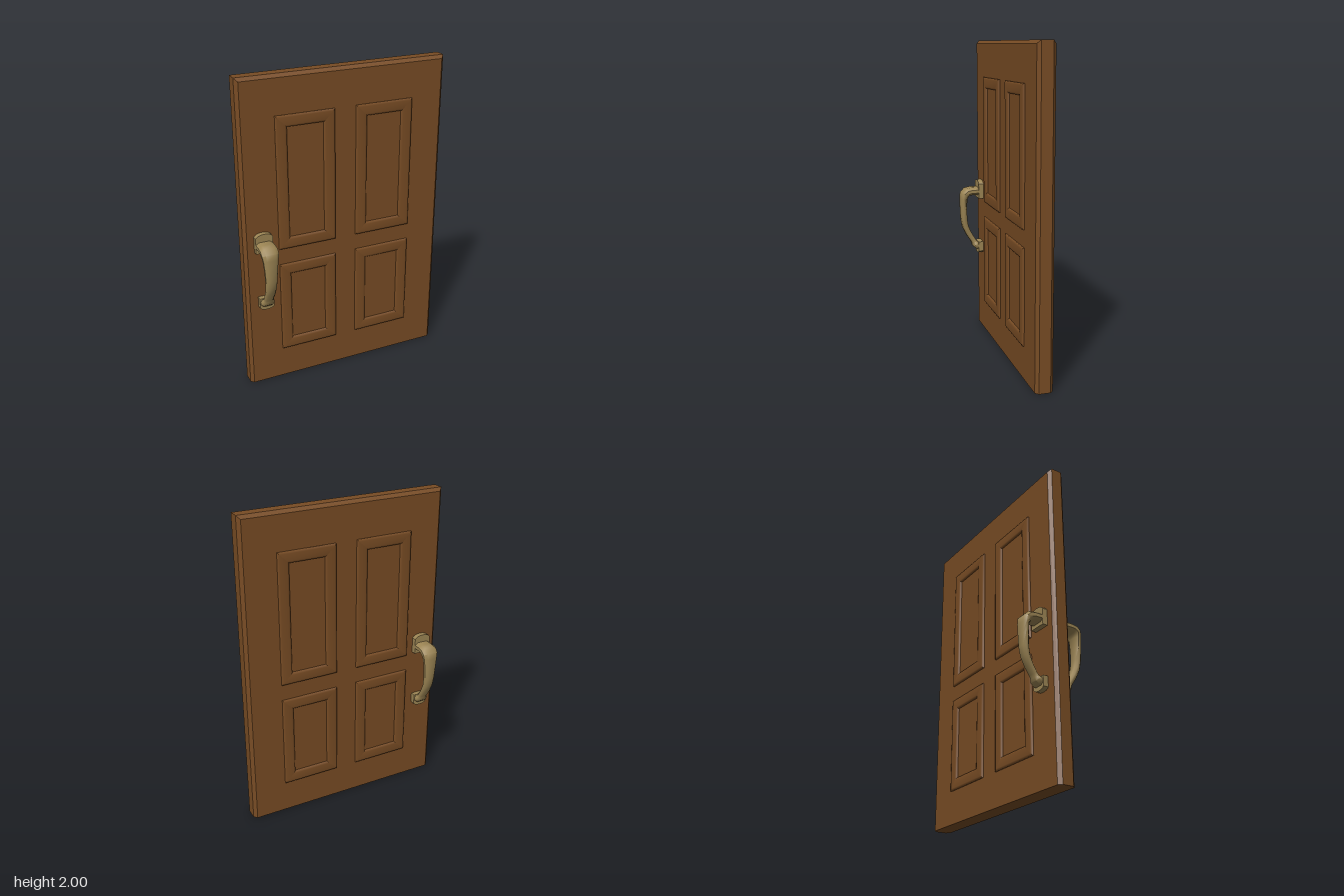
import * as THREE from 'three';
import { mergeGeometries, toCreasedNormals } from 'three/addons/utils/BufferGeometryUtils.js';

// Skin a list of rings (anticlockwise about the direction of travel)
function loft(rings, closed = true) {
  const n = rings[0].length;
  const index = [];
  const quads = closed ? n : n - 1;
  for (let i = 0; i < rings.length - 1; i++) {
    for (let j = 0; j < quads; j++) {
      const k = (j + 1) % n;
      const a = i * n + j, b = i * n + k, c = b + n, d = a + n;
      index.push(a, b, c, a, c, d);
    }
  }
  if (closed) {
    const last = (rings.length - 1) * n;
    for (let j = 1; j < n - 1; j++) {
      index.push(0, j + 1, j, last, last + j, last + j + 1);
    }
  }
  const geo = new THREE.BufferGeometry();
  geo.setAttribute('position', new THREE.Float32BufferAttribute(rings.flat(2), 3));
  geo.setIndex(index);
  geo.computeVertexNormals();
  return geo;
}

const rect = (x0, x1, y0, y1, z) => [[x0, y0, z], [x1, y0, z], [x1, y1, z], [x0, y1, z]];

// Raised moulding around a panel, with mitred corners
function mouldingGeometry(x0, x1, y0, y1) {
  const profile = [[0, 0.05], [0, 0.064], [0.012, 0.068], [0.058, 0.068], [0.07, 0.063], [0.072, 0.05]];
  const rings = profile.map(([d, z]) => rect(x0 + d, x1 - d, y0 + d, y1 - d, z));
  const sides = [0, 1, 2, 3].map((s) => loft(rings.map((r) => [r[s], r[(s + 1) % 4]]), false));
  return mergeGeometries(sides);
}

// Curved grip: z, y, half width, half thickness along its path
function gripGeometry() {
  const path = [
    [0.06, 0.983, 0.054, 0.026], [0.13, 0.983, 0.054, 0.026], [0.16, 0.977, 0.054, 0.027],
    [0.178, 0.96, 0.053, 0.026], [0.184, 0.93, 0.047, 0.021], [0.185, 0.86, 0.04, 0.02],
    [0.183, 0.79, 0.036, 0.02], [0.174, 0.735, 0.033, 0.019], [0.152, 0.685, 0.031, 0.018],
    [0.123, 0.638, 0.029, 0.017], [0.112, 0.62, 0.031, 0.018], [0.104, 0.606, 0.042, 0.023],
    [0.09, 0.594, 0.042, 0.023], [0.06, 0.585, 0.036, 0.02],
  ];
  const rings = path.map(([z, y, w, t], i) => {
    const p = path[Math.max(i - 1, 0)], q = path[Math.min(i + 1, path.length - 1)];
    const len = Math.hypot(q[0] - p[0], q[1] - p[1]);
    const ny = (q[0] - p[0]) / len, nz = -(q[1] - p[1]) / len;
    const cw = w * 0.62, ct = t * 0.4;
    const section = [[w, -ct], [w, ct], [cw, t], [-cw, t], [-w, ct], [-w, -ct], [-cw, -t], [cw, -t]];
    return section.map(([u, v]) => [u, y + ny * v, z + nz * v]);
  });
  return toCreasedNormals(loft(rings), 0.9);
}

// Mounting plate, arched at the top (dir 1) or bottom (dir -1)
function plateGeometry(w, flatY, shoulderY, tipY) {
  const shape = new THREE.Shape();
  shape.moveTo(-w, flatY);
  shape.lineTo(w, flatY);
  shape.lineTo(w, shoulderY);
  shape.bezierCurveTo(w * 0.75, tipY, -w * 0.75, tipY, -w, shoulderY);
  shape.closePath();
  const geo = new THREE.ExtrudeGeometry(shape, { depth: 0.038, bevelEnabled: false, curveSegments: 8 });
  return geo.translate(0, 0, 0.05);
}

export function createModel() {
  const wood = new THREE.MeshStandardMaterial({ color: 0x784c24 });
  wood.name = 'brown wood';
  const brass = new THREE.MeshStandardMaterial({ color: 0x9c8554 });
  brass.name = 'aged brass';

  const door = new THREE.Group();
  door.name = 'door';
  const add = (parent, geo, mat, name) => {
    const mesh = new THREE.Mesh(geo, mat);
    mesh.name = name;
    parent.add(mesh);
  };

  // Slab, chamfered along the sides and top
  const slab = loft([
    rect(-0.645, 0.645, 0, 1.98, -0.055),
    rect(-0.665, 0.665, 0, 2, -0.035),
    rect(-0.665, 0.665, 0, 2, 0.035),
    rect(-0.645, 0.645, 0, 1.98, 0.055),
  ]);
  add(door, toCreasedNormals(slab, 0.3), wood, 'slab');

  // Four panel mouldings on each face
  const mouldings = [];
  for (const [x0, x1] of [[-0.443, -0.07], [0.07, 0.443]]) {
    for (const [y0, y1] of [[0.21, 0.815], [0.922, 1.762]]) {
      mouldings.push(mouldingGeometry(x0, x1, y0, y1));
    }
  }
  const grip = gripGeometry();
  const topPlate = plateGeometry(0.055, 0.935, 1.035, 1.066);
  const bottomPlate = plateGeometry(0.046, 0.625, 0.56, 0.538);

  for (const [side, turn] of [['front', 0], ['back', Math.PI]]) {
    const panels = new THREE.Group();
    panels.name = side + 'Panels';
    panels.rotation.y = turn;
    mouldings.forEach((geo) => add(panels, geo, wood, 'panelMoulding'));

    // Pull handle, opposite each other on the two faces
    const handle = new THREE.Group();
    handle.name = side + 'Handle';
    handle.position.x = -0.546;
    handle.rotation.y = turn;
    add(handle, grip, brass, 'grip');
    add(handle, topPlate, brass, 'topPlate');
    add(handle, bottomPlate, brass, 'bottomPlate');
    door.add(panels, handle);
  }
  return door;
}
